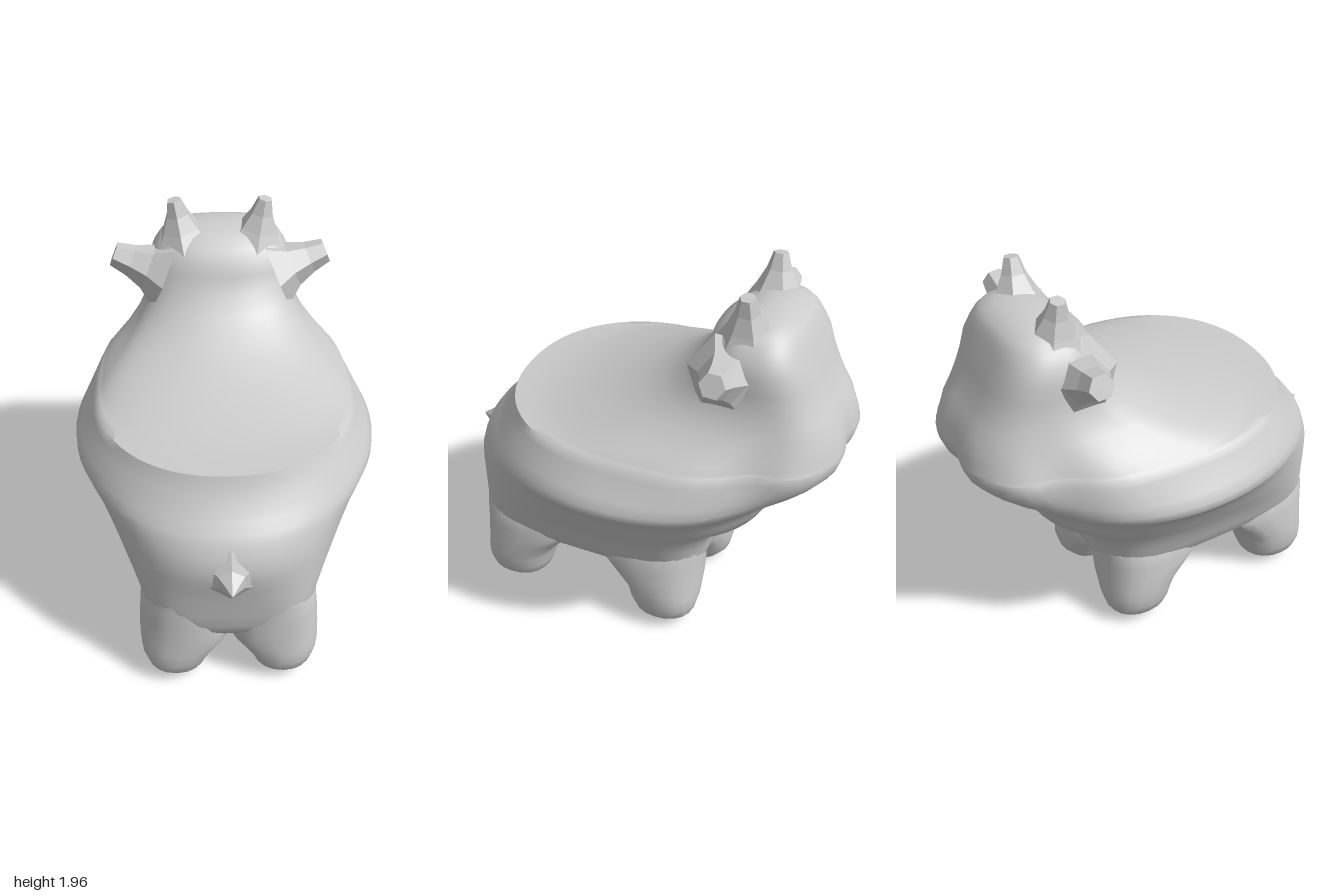
import * as THREE from 'three';
import { toCreasedNormals } from 'three/addons/utils/BufferGeometryUtils.js';

const material = new THREE.MeshStandardMaterial({ color: 0xcccccc });
const flatMaterial = new THREE.MeshStandardMaterial({ color: 0xcccccc, flatShading: true });

// Rows run upward: [y, half width, front z, back z, z of widest point, squareness]
const hull = [
  [0.25, 0.12, 0.52, -0.04, 0.24, 2.6],
  [0.265, 0.2, 0.68, -0.2, 0.24, 3],
  [0.3, 0.28, 0.78, -0.3, 0.24, 3.4],
  [0.35, 0.36, 0.82, -0.345, 0.24, 4],
  [0.41, 0.41, 0.84, -0.36, 0.24, 4.4],
  [0.48, 0.437, 0.85, -0.372, 0.24, 4.4],
  [0.55, 0.465, 0.862, -0.4, 0.22, 3.8],
  [0.62, 0.5, 0.872, -0.45, 0.2, 3.2],
  [0.68, 0.535, 0.885, -0.51, 0.17, 2.8],
  [0.75, 0.577, 0.9, -0.64, 0.13, 2.45],
  [0.82, 0.617, 0.905, -0.685, 0.1, 2.25],
  [0.88, 0.657, 0.888, -0.72, 0.06, 2.15],
  [0.94, 0.705, 0.86, -0.78, 0.02, 2.1],
  [0.975, 0.735, 0.835, -0.83, 0, 2.05],
  [1.015, 0.735, 0.795, -0.89, 0, 2.05],
  [1.06, 0.705, 0.755, -0.94, 0, 2.15],
  [1.12, 0.665, 0.715, -0.985, 0, 2.35],
  [1.16, 0.642, 0.695, -0.998, 0, 2.45],
  [1.2, 0.62, 0.68, -1.005, 0, 2.5],
];
const seatAndHead = [
  [1.205, 0.61, 0.55, -1.005, -0.02, 2.5],
  [1.22, 0.595, 0.44, -1.0, -0.05, 2.5],
  [1.25, 0.56, 0.31, -0.995, -0.1, 2.55],
  [1.29, 0.51, 0.17, -0.98, -0.18, 2.65],
  [1.35, 0.445, 0.01, -0.955, -0.3, 2.9],
  [1.41, 0.4, -0.1, -0.915, -0.4, 3.1],
  [1.48, 0.37, -0.2, -0.875, -0.46, 3.3],
  [1.56, 0.355, -0.27, -0.84, -0.5, 3.3],
  [1.64, 0.355, -0.315, -0.81, -0.52, 3.3],
  [1.7, 0.335, -0.33, -0.78, -0.53, 3.2],
  [1.75, 0.305, -0.38, -0.76, -0.54, 3],
  [1.79, 0.265, -0.43, -0.73, -0.56, 2.8],
  [1.815, 0.2, -0.48, -0.68, -0.57, 2.5],
  [1.83, 0.1, -0.53, -0.63, -0.58, 2.2],
];
// Leg rows: [y, inner x, outer x, half depth, squareness]
const legRows = [
  [0.005, 0.18, 0.29, 0.06, 2],
  [0.03, 0.145, 0.355, 0.115, 2.1],
  [0.08, 0.115, 0.41, 0.16, 2.2],
  [0.14, 0.09, 0.43, 0.178, 2.3],
  [0.2, 0.045, 0.438, 0.185, 2.4],
  [0.25, 0, 0.44, 0.2, 2.4],
  [0.32, -0.02, 0.438, 0.235, 2.5],
  [0.4, -0.02, 0.432, 0.275, 2.6],
  [0.49, 0, 0.42, 0.27, 2.6],
  [0.58, 0.06, 0.36, 0.2, 2.4],
];

const signedPow = (v, p) => Math.sign(v) * Math.abs(v) ** p;

// Skin a stack of superellipse rings and close both ends; the seat side stays round.
function loft(rows, segments, xc = () => 0) {
  const pos = [], index = [];
  rows.forEach(([y, w, zf, zb, zc, n], r) => {
    for (let i = 0; i < segments; i++) {
      const a = (i / segments) * Math.PI * 2;
      const power = 2 / (y > 1.1 && Math.sin(a) > 0 ? 2.2 : n);
      const s = signedPow(Math.sin(a), power);
      pos.push(xc(r) + w * signedPow(Math.cos(a), power), y, zc + s * (s > 0 ? zf - zc : zc - zb));
    }
  });
  const last = rows.length - 1, bottom = pos.length / 3;
  for (const r of [0, last]) pos.push(xc(r), rows[r][0], rows[r][4]);
  for (let i = 0; i < segments; i++) {
    const j = (i + 1) % segments;
    for (let r = 0; r < last; r++) {
      const a = r * segments + i, b = r * segments + j;
      index.push(a, a + segments, b, b, a + segments, b + segments);
    }
    index.push(bottom, i, j, bottom + 1, last * segments + j, last * segments + i);
  }
  const g = new THREE.BufferGeometry();
  g.setAttribute('position', new THREE.Float32BufferAttribute(pos, 3));
  g.setIndex(index);
  return g;
}

// Flared, blunt, faceted spike pointing from one place to another.
function spike(name, from, to, radii, sides) {
  const a = new THREE.Vector3(...from), dir = new THREE.Vector3(...to).sub(a);
  const h = dir.length();
  const profile = radii.map((r, i) => new THREE.Vector2(r, (h * i) / (radii.length - 1)));
  profile.push(new THREE.Vector2(0, h));
  const mesh = new THREE.Mesh(new THREE.LatheGeometry(profile, sides), flatMaterial);
  mesh.position.copy(a);
  mesh.quaternion.setFromUnitVectors(new THREE.Vector3(0, 1, 0), dir.normalize());
  mesh.name = name;
  return mesh;
}

export function createModel() {
  const model = new THREE.Group();
  model.name = 'animalSeat';

  // Body, scooped seat and head in one skin; cheeks pinched in, muzzle grooved
  const skin = loft([...hull, ...seatAndHead], 64);
  const p = skin.attributes.position;
  for (let i = 0; i < p.count; i++) {
    const x = p.getX(i), y = p.getY(i), z = p.getZ(i);
    if (z > -0.3) continue;
    const nearMuzzle = Math.exp(-(((y - 1.15) / 0.2) ** 2));
    p.setX(i, x * (1 - 0.14 * nearMuzzle * Math.exp(-(((z + 0.67) / 0.14) ** 2))));
    if (z < -0.6) p.setZ(i, z + 0.035 * nearMuzzle * Math.exp(-((x / 0.09) ** 2)));
  }
  const body = new THREE.Mesh(toCreasedNormals(skin, 1), material);
  body.name = 'bodySeatAndHead';
  model.add(body);

  for (const side of [1, -1]) {
    const label = side > 0 ? 'left' : 'right';

    // Stubby legs that widen into the belly
    for (const [end, z, lean] of [['Front', 0.67, 1], ['Back', -0.18, -1]]) {
      const rows = legRows.map(([y, x0, x1, d, n]) => {
        const zc = z - lean * Math.max(0, d - 0.175);
        return [y, (x1 - x0) / 2, zc + d, zc - d, zc, n];
      });
      const g = loft(rows, 20, (r) => (side * (legRows[r][1] + legRows[r][2])) / 2);
      const leg = new THREE.Mesh(toCreasedNormals(g, 0.6), material);
      leg.name = `${label}${end}Leg`;
      model.add(leg);
    }

    // Horn and ear
    model.add(spike(`${label}Horn`, [side * 0.18, 1.73, -0.53], [side * 0.224, 1.96, -0.525],
      [0.15, 0.1, 0.06, 0.036], 6));
    model.add(spike(`${label}Ear`, [side * 0.28, 1.59, -0.47], [side * 0.53, 1.69, -0.49],
      [0.19, 0.115, 0.08, 0.06], 6));
  }

  // Short pointed tail with a flared root
  model.add(spike('tail', [0, 0.775, 0.87], [0, 0.775, 1], [0.15, 0.07, 0.035, 0.004], 6));
  return model;
}
